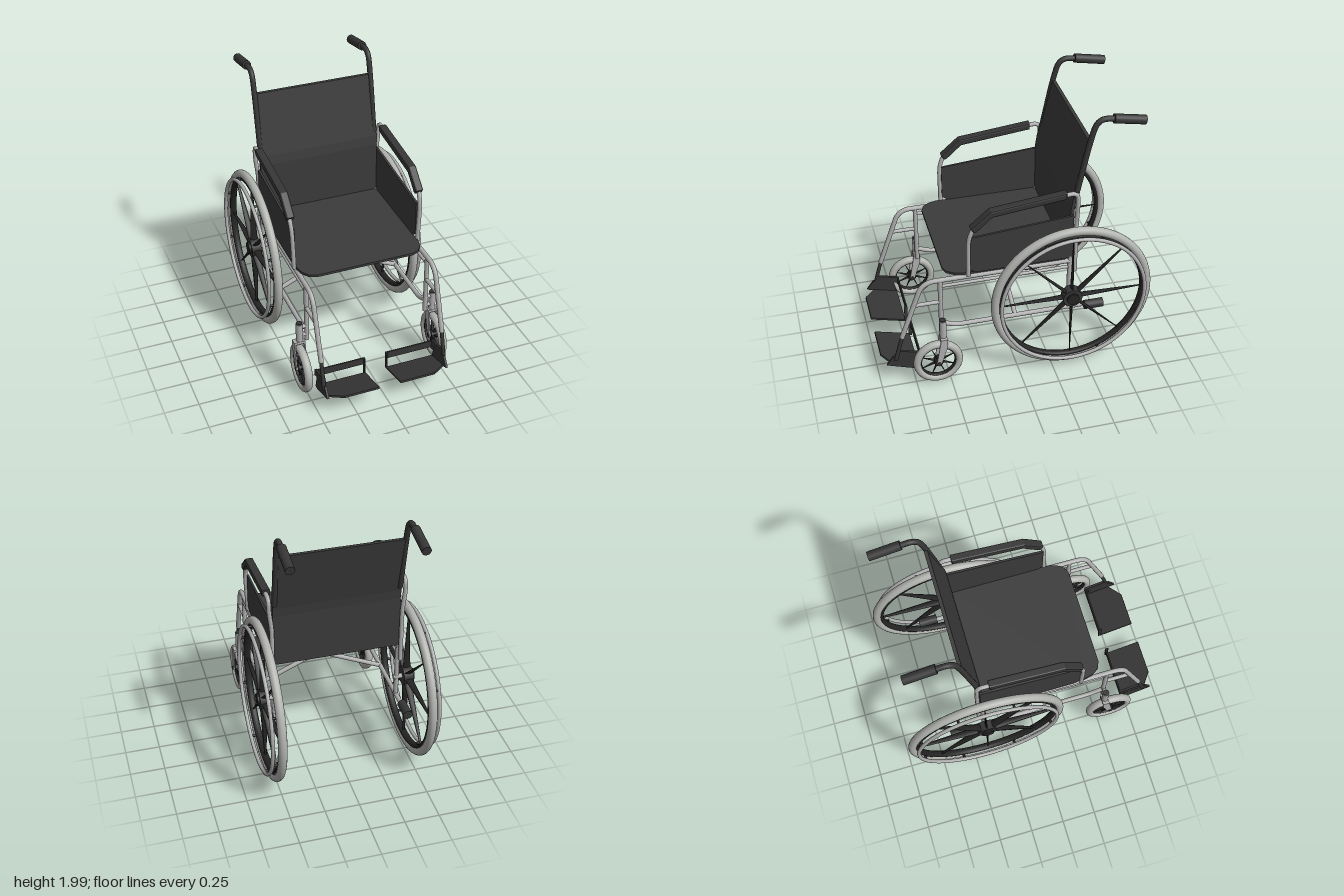
import * as THREE from 'three';

const mat = (name, color) => Object.assign(new THREE.MeshStandardMaterial({ color }), { name });
const V = (x, y, z) => new THREE.Vector3(x, y, z);

export function createModel() {
  const root = new THREE.Group();
  root.name = 'wheelchair';
  const metal = mat('frame metal', 0xb0b0b0);
  const rubber = mat('grey tyre', 0xb2b4b0);
  const fabric = mat('dark fabric', 0x3b3b3b);
  const plastic = mat('dark plastic', 0x363636);
  const black = mat('black spokes', 0x242424);

  const add = (name, geo, material, parent = root) => {
    const m = new THREE.Mesh(geo, material);
    m.name = name;
    parent.add(m);
    return m;
  };

  // Capped straight rod between two points
  const rod = (name, a, b, r, material, parent, sides = 14) => {
    const m = add(name, new THREE.CylinderGeometry(r, r, a.distanceTo(b), sides), material, parent);
    m.position.copy(a).add(b).multiplyScalar(0.5);
    m.quaternion.setFromUnitVectors(V(0, 1, 0), b.clone().sub(a).normalize());
    return m;
  };

  // Bent tube through points with rounded corners
  const tube = (name, pts, r, bend, material, parent) => {
    const path = new THREE.CurvePath();
    let from = pts[0];
    for (let i = 1; i < pts.length - 1; i++) {
      const p = pts[i];
      const reach = (q) => p.clone().add(q.clone().sub(p).setLength(Math.min(bend, p.distanceTo(q) * 0.48)));
      const a = reach(pts[i - 1]), b = reach(pts[i + 1]);
      path.add(new THREE.LineCurve3(from, a));
      path.add(new THREE.QuadraticBezierCurve3(a, p, b));
      from = b;
    }
    path.add(new THREE.LineCurve3(from, pts[pts.length - 1]));
    return add(name, new THREE.TubeGeometry(path, 64, r, 12), material, parent);
  };

  const outline = (pts) => new THREE.Shape(pts.map(([a, b]) => new THREE.Vector2(a, b)));

  // Side profile given as [z, y], extruded along x around a centre
  const profile = (name, pts, x, width, bevel, material, parent) => {
    const geo = new THREE.ExtrudeGeometry(outline(pts), {
      depth: width - 2 * bevel, bevelEnabled: bevel > 0, bevelSize: bevel,
      bevelThickness: bevel, bevelOffset: -bevel, bevelSegments: 2,
    });
    geo.translate(0, 0, bevel - width / 2).rotateY(-Math.PI / 2).translate(x, 0, 0);
    return add(name, geo, material, parent);
  };

  // Flat outline given as [x, z], with its front edge tilted up
  const slab = (name, pts, thickness, tilt, material, parent) => {
    const geo = new THREE.ExtrudeGeometry(outline(pts), { depth: thickness, bevelEnabled: false });
    return add(name, geo.rotateX(Math.PI / 2 - tilt), material, parent);
  };

  // Hub disc with its axis along x
  const disc = (name, r, x0, x1, material, parent) =>
    rod(name, V(x0, 0, 0), V(x1, 0, 0), r, material, parent, 28);

  const ring = (name, R, r, x, material, parent, squash = 1) => {
    const geo = new THREE.TorusGeometry(R, r, 14, 72).scale(1, 1, squash).rotateY(Math.PI / 2);
    return add(name, geo.translate(x, 0, 0), material, parent);
  };

  // Evenly spaced tapered spokes, broad along the axle
  const spokes = (wheel, count, r0, r1, wide, thin, turn = 0) => {
    for (let i = 0; i < count; i++) {
      const geo = new THREE.CylinderGeometry(wide * 0.25, wide, r1 - r0, 8);
      geo.scale(1, 1, thin / wide).translate(0, (r0 + r1) / 2, 0);
      geo.rotateX(turn + (i / count) * Math.PI * 2);
      add('spoke', geo, black, wheel);
    }
  };

  // Seat and backrest
  slab('seat', [[-0.44, -0.39], [0.44, -0.39], [0.46, -0.35], [0.46, 0.38], [0.445, 0.44], [0.41, 0.49],
    [0.36, 0.51], [-0.36, 0.51], [-0.41, 0.49], [-0.445, 0.44], [-0.46, 0.38], [-0.46, -0.35]],
  0.018, 0, fabric).position.y = 0.892;
  profile('backrest', [[-0.385, 0.885], [-0.385, 1.28], [-0.395, 1.35], [-0.495, 1.81], [-0.52, 1.81],
    [-0.42, 1.35], [-0.41, 1.28], [-0.41, 0.885]], 0, 0.91, 0, fabric);

  // Folding cross brace
  [[1, 0.005], [-1, -0.025]].forEach(([s, z]) =>
    rod('crossBrace', V(-0.455 * s, 0.85, z), V(0.455 * s, 0.44, z), 0.017, metal));

  for (const s of [1, -1]) {
    const side = new THREE.Group();
    side.name = s > 0 ? 'leftSide' : 'rightSide';
    root.add(side);
    const P = (x, y, z) => V(x * s, y, z);
    const fx = 0.455;

    // Side frame
    tube('upperFrameTube', [P(fx, 0.855, -0.41), P(fx, 0.855, 0.67), P(fx, 0.4, 0.83)], 0.018, 0.09, metal, side);
    rod('secondRail', P(fx, 0.803, 0.54), P(fx, 0.803, -0.4), 0.012, metal, side);
    tube('lowerRail', [P(fx, 0.48, 0.54), P(fx, 0.44, 0.44), P(fx, 0.44, -0.53)], 0.017, 0.04, metal, side);
    rod('railEnd', P(0.462, 0.435, -0.51), P(0.462, 0.435, -0.65), 0.034, plastic, side);
    rod('frontPost', P(fx, 0.85, 0.545), P(fx, 0.39, 0.545), 0.017, metal, side);
    rod('legBrace', P(fx, 0.668, 0.54), P(fx, 0.668, 0.735), 0.015, metal, side);
    rod('rearPost', P(fx, 0.9, -0.39), P(fx, 0.43, -0.39), 0.017, metal, side);

    // Push handle
    tube('handleTube', [P(0.443, 1.38, -0.418), P(0.443, 1.81, -0.503), P(0.443, 1.975, -0.55), P(0.443, 1.955, -0.7)],
      0.02, 0.14, plastic, side);
    rod('handleGrip', P(0.443, 1.962, -0.66), P(0.443, 1.922, -0.883), 0.033, plastic, side, 20);

    // Armrest
    tube('armrestTube', [P(0.465, 0.77, -0.425), P(0.465, 1.2, -0.425), P(0.482, 1.33, -0.425), P(0.482, 1.44, -0.425),
      P(0.482, 1.43, -0.32), P(0.482, 1.37, 0.19), P(0.482, 1.26, 0.315), P(0.478, 1.17, 0.345), P(0.468, 0.87, 0.345)],
    0.016, 0.06, metal, side);
    profile('armrestPad', [[0.29, 1.25], [0.31, 1.245], [0.332, 1.28], [0.195, 1.4], [-0.34, 1.46], [-0.34, 1.41],
      [0.18, 1.35]], 0.478 * s, 0.062, 0.012, plastic, side);
    profile('sidePanel', [[0.335, 0.92], [0.335, 1.18], [-0.405, 1.245], [-0.405, 0.89], [0.29, 0.89]],
      0.462 * s, 0.016, 0, fabric, side);

    // Drive wheel with hand rim
    const wheel = new THREE.Group();
    wheel.name = 'driveWheel';
    wheel.position.set(0.53 * s, 0.595, -0.39);
    side.add(wheel);
    ring('tyre', 0.559, 0.032, 0, rubber, wheel);
    ring('wheelRim', 0.525, 0.016, 0, black, wheel, 1.6);
    ring('handRim', 0.527, 0.014, 0.06 * s, metal, wheel);
    spokes(wheel, 8, 0.04, 0.52, 0.03, 0.009);
    disc('hub', 0.07, -0.035, 0.035, plastic, wheel);
    disc('hubCap', 0.045, 0.03 * s, 0.05 * s, black, wheel);
    disc('axle', 0.018, -0.1 * s, 0, metal, wheel);
    for (let i = 0; i < 8; i++) {
      const a = (i + 0.5) * Math.PI / 4, y = Math.cos(a) * 0.527, z = Math.sin(a) * 0.527;
      rod('handRimPin', V(0, y, z), V(0.06 * s, y, z), 0.009, black, wheel, 8);
    }

    // Front caster
    const caster = new THREE.Group();
    caster.name = 'casterWheel';
    caster.position.set(0.515 * s, 0.183, 0.588);
    side.add(caster);
    ring('casterTyre', 0.152, 0.028, 0, rubber, caster, 1.1);
    ring('casterRim', 0.127, 0.008, 0, black, caster, 2);
    spokes(caster, 8, 0.02, 0.13, 0.016, 0.006, Math.PI / 8);
    disc('casterHub', 0.032, -0.026, 0.026, black, caster);
    disc('casterAxle', 0.016, -0.046, 0.046, plastic, caster);
    for (const e of [1, -1]) {
      const arm = profile('casterFork', [[-0.018, -0.005], [0.018, -0.005], [-0.018, 0.2], [-0.066, 0.2], [-0.064, 0.14]],
        e * 0.037, 0.009, 0, metal, caster);
      arm.position.x = 0;
    }
    const crown = add('forkCrown', new THREE.BoxGeometry(0.083, 0.02, 0.05), metal, side);
    crown.position.set(0.515 * s, 0.385, 0.545);
    rod('casterStem', P(0.51, 0.38, 0.545), P(0.51, 0.54, 0.545), 0.025, metal, side);
    rod('stemCap', P(0.51, 0.54, 0.545), P(0.51, 0.548, 0.545), 0.022, plastic, side);
    for (const y of [0.44, 0.51]) rod('stemBracket', P(fx, y, 0.545), P(0.51, y, 0.545), 0.016, metal, side);

    // Footrest
    rod('footrestHanger', P(fx, 0.41, 0.827), P(fx, 0.2, 0.885), 0.014, plastic, side);
    const plate = slab('footplate', [[0.08 * s, 0], [0.45 * s, 0], [0.45 * s, 0.18], [0.34 * s, 0.265], [0.08 * s, 0.265]],
      0.014, 0.26, plastic, side);
    plate.position.set(0, 0.108, 0.72);
    profile('footrestSide', [[0.95, 0.165], [0.9, 0.235], [0.745, 0.2], [0.72, 0.1], [0.75, 0.095]],
      0.45 * s, 0.016, 0, plastic, side);
    profile('heelBracket', [[0.87, 0.28], [0.755, 0.25], [0.7, 0.235], [0.7, 0.185], [0.88, 0.23]],
      0.448 * s, 0.018, 0, plastic, side);
    const strap = add('heelStrap', new THREE.BoxGeometry(0.37, 0.055, 0.01), plastic, side);
    strap.position.set(0.265 * s, 0.203, 0.705);
    const tab = add('strapTab', new THREE.BoxGeometry(0.01, 0.135, 0.022), plastic, side);
    tab.position.set(0.085 * s, 0.163, 0.714);
  }
  return root;
}
